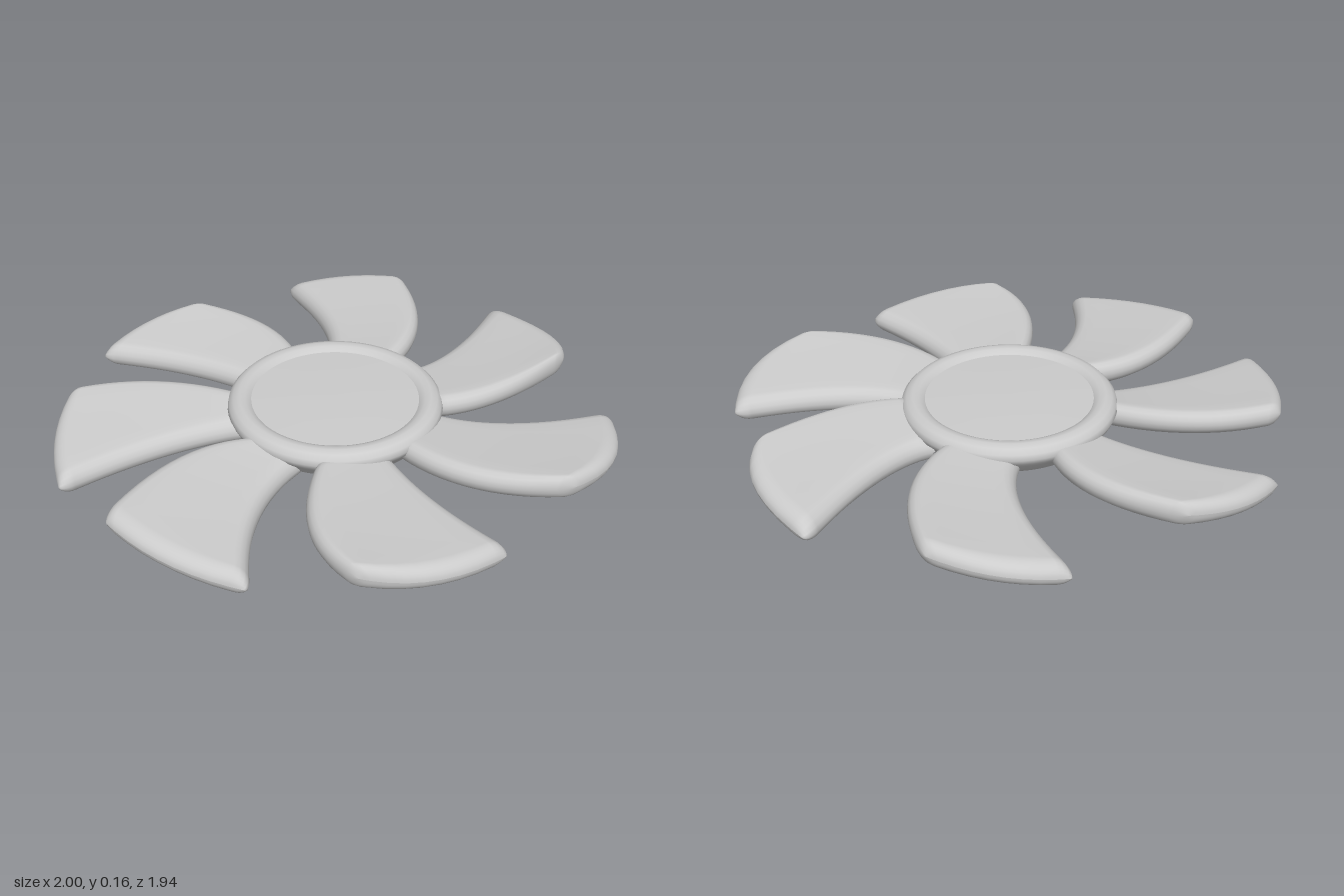
import * as THREE from 'three';

const material = new THREE.MeshStandardMaterial({ color: 0xcccccc });
const HALF = 0.047; // half thickness of a blade

// Each blade in plan (x, z): trailing edge, leading edge (root, middle, tip), then tip middle
const BLADES = [
  { trail: [[0.13, 0.36], [0.2, 0.62], [0.335, 0.89]], lead: [[-0.17, 0.36], [-0.27, 0.65], [-0.21, 0.9]], tip: [0.04, 0.965] },
  { trail: [[0.4, 0.16], [0.64, 0.27], [0.985, 0.3]], lead: [[0.18, 0.36], [0.36, 0.59], [0.63, 0.71]], tip: [0.87, 0.57] },
  { trail: [[0.41, -0.18], [0.62, -0.29], [0.88, -0.54]], lead: [[0.42, 0.13], [0.66, 0.11], [0.95, -0.02]], tip: [0.995, -0.23] },
  { trail: [[0.13, -0.4], [0.18, -0.65], [0.13, -0.975]], lead: [[0.36, -0.24], [0.53, -0.47], [0.575, -0.79]], tip: [0.37, -0.93] },
  { trail: [[-0.23, -0.3], [-0.43, -0.51], [-0.71, -0.7]], lead: [[0, -0.4], [-0.075, -0.64], [-0.28, -0.85]], tip: [-0.51, -0.825] },
  { trail: [[-0.36, -0.01], [-0.66, 0.01], [-1, 0.105]], lead: [[-0.31, -0.21], [-0.58, -0.36], [-0.87, -0.39]], tip: [-0.975, -0.16] },
  { trail: [[-0.23, 0.29], [-0.41, 0.5], [-0.51, 0.8]], lead: [[-0.34, 0.1], [-0.61, 0.15], [-0.895, 0.38]], tip: [-0.74, 0.62] },
];

// Smooth curve through three plan points
function through([p, q, r], v) {
  const a = (1 - v) * (1 - 2 * v), b = 4 * v * (1 - v), c = v * (2 * v - 1);
  return new THREE.Vector2(a * p[0] + b * q[0] + c * r[0], a * p[1] + b * q[1] + c * r[1]);
}

// Cross-section with round edges: u from trailing (0) to leading (1) edge, and height
function bladeSection(width) {
  const inset = HALF / width, ring = [], arc = 8, flat = 7;
  for (const side of [1, -1]) {
    for (let k = 0; k <= arc; k++) {
      const angle = (-0.5 + k / arc) * Math.PI;
      const fromEdge = inset * (1 - Math.cos(angle));
      ring.push([side > 0 ? 1 - fromEdge : fromEdge, side * Math.sin(angle)]);
    }
    for (let k = 1; k < flat; k++) {
      const u = inset + (1 - 2 * inset) * k / flat;
      ring.push([side > 0 ? 1 - u : u, side]);
    }
  }
  return ring;
}

function bladeGeometry({ trail, lead, tip }) {
  // Rows along the blade: position, relative thickness
  const rows = [[-0.15, 0], [-0.12, 1]];
  for (let i = 0; i <= 12; i++) rows.push([0.92 * i / 12, 1]);
  for (let i = 1; i <= 7; i++) {
    const angle = i / 7 * Math.PI / 2;
    rows.push([0.92 + 0.08 * Math.sin(angle), Math.cos(angle)]);
  }
  const tipCentre = through(trail, 1).lerp(through(lead, 1), 0.5);
  const bulge = new THREE.Vector2(...tip).sub(tipCentre);
  const positions = [], indices = [];
  let count = 0;
  rows.forEach(([v, thick], i) => {
    const a = through(trail, v), b = through(lead, v);
    const section = bladeSection(a.distanceTo(b));
    count = section.length;
    const narrow = v > 0.9 ? 1 - 0.07 * (1 - thick) : 1;
    const pitch = 0.06 * (0.6 + 0.4 * v);
    for (const [s, height] of section) {
      const u = 0.5 + (s - 0.5) * narrow;
      const p = a.clone().lerp(b, u).addScaledVector(bulge, 4 * u * (1 - u) * v * v);
      const y = 0.092 + pitch * (u - 0.5) + 0.01 * p.x + height * thick * HALF;
      positions.push(p.x, y, p.y);
    }
    if (i === 0) return;
    for (let j = 0; j < count; j++) {
      const k = (j + 1) % count, lo = (i - 1) * count, hi = i * count;
      indices.push(lo + j, hi + j, lo + k, lo + k, hi + j, hi + k);
    }
  });
  const geometry = new THREE.BufferGeometry();
  geometry.setAttribute('position', new THREE.Float32BufferAttribute(positions, 3));
  geometry.setIndex(indices);
  geometry.computeVertexNormals();
  return geometry;
}

function turned(name, profile) {
  const points = profile.map(([r, y]) => new THREE.Vector2(r, y));
  const mesh = new THREE.Mesh(new THREE.LatheGeometry(points, 64), material);
  mesh.name = name;
  return mesh;
}

export function createModel() {
  const fan = new THREE.Group();
  fan.name = 'fan';

  // Hub: rounded rim around a shallow plate
  const hub = new THREE.Group();
  hub.name = 'hub';
  hub.add(turned('hubRim', [
    [0.3, 0.07], [0.305, 0.05], [0.325, 0.045], [0.345, 0.06], [0.365, 0.09], [0.385, 0.11],
    [0.393, 0.13], [0.388, 0.15], [0.372, 0.167], [0.35, 0.175], [0.328, 0.172], [0.31, 0.162], [0.3, 0.15],
  ]));
  hub.add(turned('hubPlateTop', [[0.315, 0.157], [0.2, 0.161], [0.1, 0.163], [0, 0.164]]));
  hub.add(turned('hubPlateBottom', [[0, 0.07], [0.15, 0.068], [0.25, 0.064], [0.315, 0.055]]));
  hub.position.set(0.032, 0, -0.015);
  fan.add(hub);

  // Seven swept, pitched blades
  BLADES.forEach((plan, i) => {
    const blade = new THREE.Mesh(bladeGeometry(plan), material);
    blade.name = `blade${i + 1}`;
    fan.add(blade);
  });
  return fan;
}
